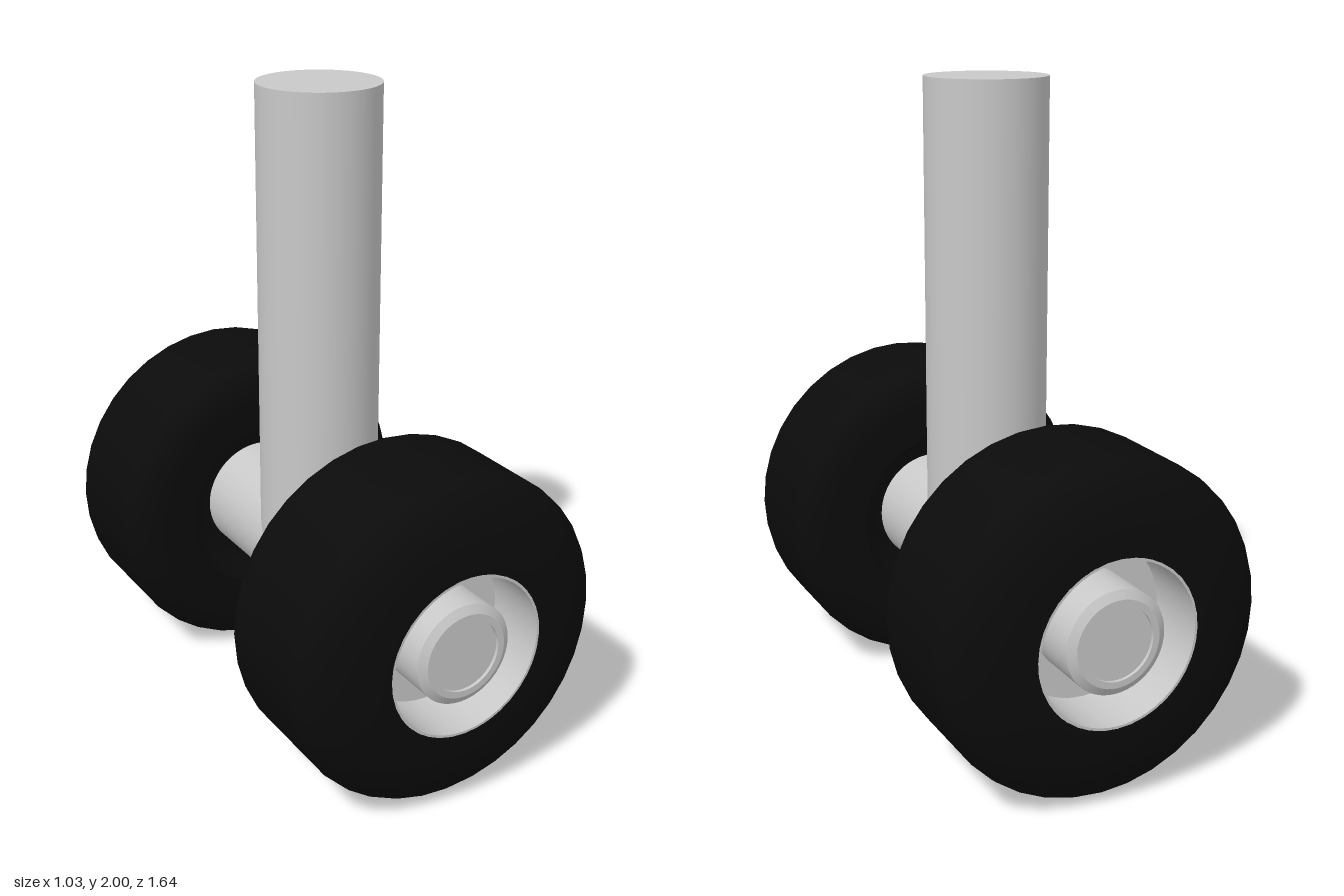
import * as THREE from 'three';

const metal = new THREE.MeshStandardMaterial({ color: 0xc8c8c8 });
metal.name = 'light grey metal';
const rubber = new THREE.MeshStandardMaterial({ color: 0x0b0b0b });
rubber.name = 'black rubber';

const AXLE_Y = 0.515;

function addMesh(parent, name, geometry, material) {
  const mesh = new THREE.Mesh(geometry, material);
  mesh.name = name;
  parent.add(mesh);
  return mesh;
}

// Revolves [radius, z] points around z; points run towards +z along the outside
function turned(points, segments) {
  const profile = points.map(([r, z]) => new THREE.Vector2(r, z));
  return new THREE.LatheGeometry(profile, segments).rotateX(Math.PI / 2);
}

// Separate lathe bands keep the machined edges crisp
function addTurnedBands(parent, name, points) {
  const group = new THREE.Group();
  group.name = name;
  parent.add(group);
  for (let i = 0; i < points.length - 1; i++) {
    addMesh(group, name + 'Band' + (i + 1), turned([points[i], points[i + 1]], 48), metal);
  }
}

// Quarter ellipse of profile points
function corner(cr, cz, a, b, from, to) {
  const pts = [];
  for (let i = 0; i <= 8; i++) {
    const t = from + ((to - from) * i) / 8;
    pts.push([cr + a * Math.cos(t), cz + b * Math.sin(t)]);
  }
  return pts;
}

// Wheel with its outer face towards +z
function createWheel(name) {
  const wheel = new THREE.Group();
  wheel.name = name;

  // Tyre: dished inner side, tight inner shoulder, broad outer shoulder
  addMesh(wheel, 'tyreInnerDish', turned([[0.16, 0.42], [0.25, 0.42], [0.29, 0.32]], 36), rubber);
  addMesh(wheel, 'tyre', turned([
    [0.29, 0.32],
    ...corner(0.395, 0.405, 0.12, 0.085, -Math.PI / 2, 0),
    ...corner(0.275, 0.695, 0.24, 0.125, 0, Math.PI / 2),
    [0.255, 0.82],
  ], 36), rubber);

  // Rim: thin lip, deep wall and flat floor
  addTurnedBands(wheel, 'rim', [[0.255, 0.82], [0.247, 0.82], [0.247, 0.62], [0.15, 0.62]]);

  // Hub: stub with a bevelled end and a slightly sunken cap
  addTurnedBands(wheel, 'hub', [
    [0.157, 0.62], [0.157, 0.8], [0.132, 0.815], [0.112, 0.815], [0.112, 0.805], [0, 0.805],
  ]);
  return wheel;
}

export function createModel() {
  const model = new THREE.Group();
  model.name = 'landingGear';

  // Upright strut, running down to the middle of the axle
  const strut = addMesh(model, 'strut', new THREE.CylinderGeometry(0.187, 0.187, 2 - AXLE_Y, 64), metal);
  strut.position.set(0.006, (2 + AXLE_Y) / 2, -0.006);

  // Cross axle between the wheels
  const axle = addMesh(model, 'axle', new THREE.CylinderGeometry(0.187, 0.187, 0.9, 64), metal);
  axle.rotation.x = Math.PI / 2;
  axle.position.set(0.006, AXLE_Y, 0);

  // Matching wheels front and back
  for (const [name, turn] of [['frontWheel', 0], ['backWheel', Math.PI]]) {
    const wheel = createWheel(name);
    wheel.position.y = AXLE_Y;
    wheel.rotation.y = turn;
    model.add(wheel);
  }
  return model;
}
